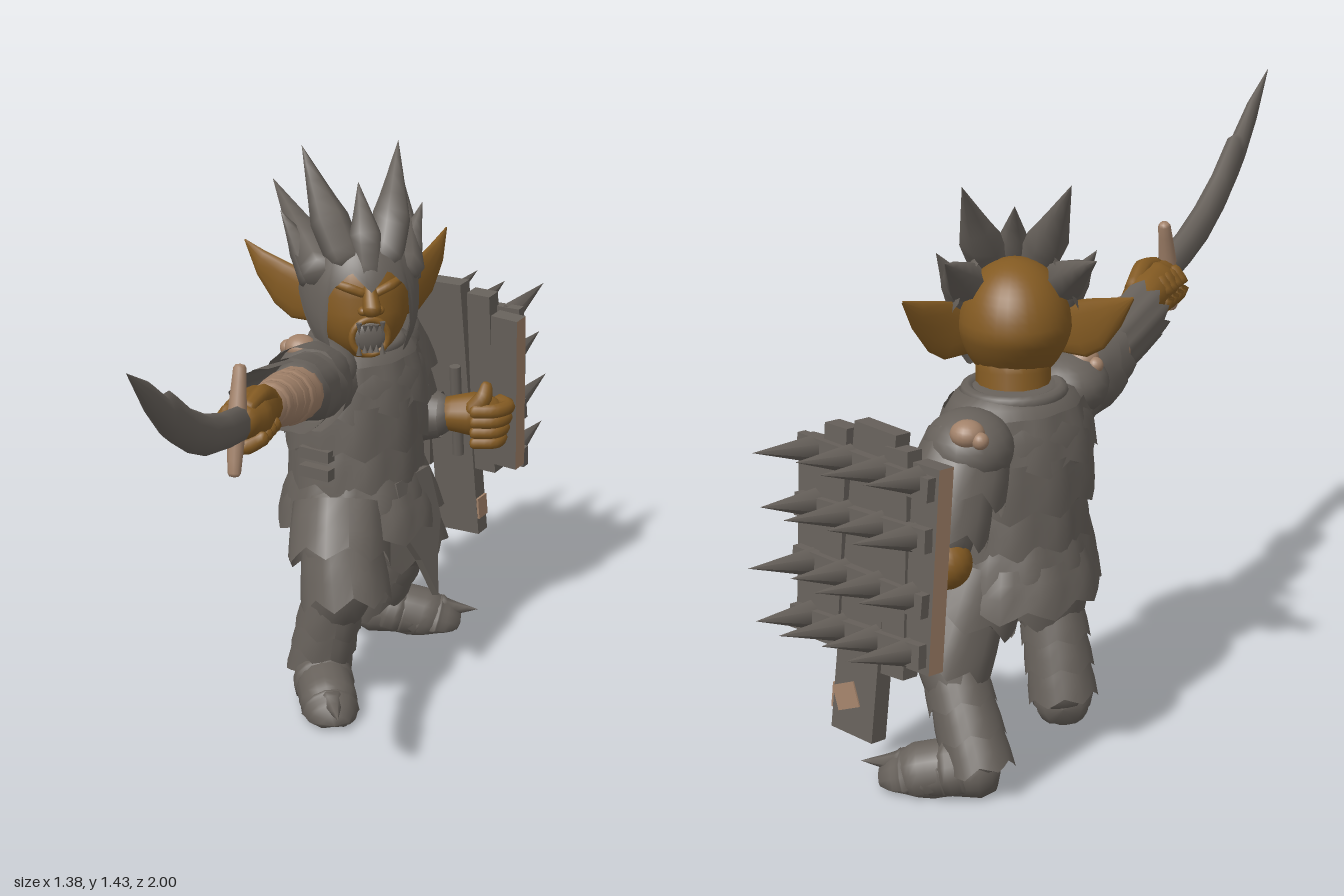
import * as THREE from 'three';

const V = (x, y, z) => new THREE.Vector3(x, y, z);
const material = (name, color, side = THREE.FrontSide) => {
  const m = new THREE.MeshStandardMaterial({ color, side });
  m.name = name;
  return m;
};

// Surface through rings of points; closed rings wrap around
function skin(rings, closed = true) {
  const n = rings[0].length, pos = [], idx = [];
  rings.forEach(r => r.forEach(p => pos.push(p.x, p.y, p.z)));
  for (let i = 0; i < rings.length - 1; i++) for (let k = 0; k < (closed ? n : n - 1); k++) {
    const a = i * n + k, b = i * n + (k + 1) % n;
    idx.push(a, b, a + n, b, b + n, a + n);
  }
  const g = new THREE.BufferGeometry();
  g.setAttribute('position', new THREE.Float32BufferAttribute(pos, 3));
  g.setIndex(idx);
  g.computeVertexNormals();
  return g;
}

// Rounded limb through [x, y, z, radius] points
function limbGeometry(pts, sides = 14, minY = -9) {
  const curve = new THREE.CatmullRomCurve3(pts.map(p => V(p[0], p[1], p[2])));
  const dir = curve.getPoint(1).sub(curve.getPoint(0)).normalize();
  const ref = Math.abs(dir.y) > 0.75 ? V(0, 0, 1) : V(0, 1, 0);
  const last = pts.length - 1, steps = last * 4, rings = [];
  const ring = (t, r, shift) => {
    const tan = curve.getTangent(t), c = curve.getPoint(t).addScaledVector(tan, shift);
    const n = ref.clone().cross(tan).normalize(), b = tan.clone().cross(n);
    rings.push(Array.from({ length: sides }, (_, k) => {
      const a = k / sides * Math.PI * 2;
      const p = c.clone().addScaledVector(n, r * Math.cos(a)).addScaledVector(b, r * Math.sin(a));
      p.y = Math.max(p.y, minY);
      return p;
    }));
  };
  const r0 = pts[0][3], r1 = pts[last][3];
  ring(0, 0, -r0 * 0.6); ring(0, r0 * 0.7, -r0 * 0.45);
  for (let i = 0; i <= steps; i++) {
    const f = i / steps * last, j = Math.min(Math.floor(f), last - 1);
    ring(i / steps, THREE.MathUtils.lerp(pts[j][3], pts[j + 1][3], f - j), 0);
  }
  ring(1, r1 * 0.7, r1 * 0.45); ring(1, 0, r1 * 0.6);
  return skin(rings);
}

// Flared armour sleeve with a ragged lower edge
function raggedGeometry(rTop, rBot, h, teeth, depth, start = 0, length = Math.PI * 2) {
  const g = new THREE.CylinderGeometry(rTop, rBot, h, teeth * 4, 3, true, start, length);
  const p = g.attributes.position, n = teeth * 4 + 1;
  for (let i = 0; i < p.count; i++) {
    const row = Math.floor(i / n), tooth = Math.abs((i % n) % 4 - 2) / 2;
    if (row === 3) p.setY(i, p.getY(i) - depth * (1 - tooth));
    const bulge = 1 + (row === 3 ? 0.03 : 0.05) * (1 - tooth);
    p.setX(i, p.getX(i) * bulge); p.setZ(i, p.getZ(i) * bulge);
  }
  g.computeVertexNormals();
  return g;
}

export function createModel() {
  const steel = material('dark steel', 0x67615b, THREE.DoubleSide);
  const flesh = material('brown skin', 0x835a22);
  const tan = material('tan leather and wood', 0xa2826a);
  const model = new THREE.Group();
  const add = (name, geo, mat, parent = model, x = 0, y = 0, z = 0) => {
    const m = new THREE.Mesh(geo, mat);
    m.name = name; m.position.set(x, y, z); parent.add(m);
    return m;
  };
  const limb = (name, mat, pts, sides, minY) => add(name, limbGeometry(pts, sides, minY), mat);
  const cuff = (name, from, to, r0, r1, teeth = 7, depth = 0.035, start, len) => {
    const a = V(...from), b = V(...to), d = a.clone().sub(b);
    const m = add(name, raggedGeometry(r0, r1, d.length(), teeth, depth, start, len), steel);
    m.position.copy(a).add(b).multiplyScalar(0.5);
    m.quaternion.setFromUnitVectors(V(0, 1, 0), d.normalize());
    return m;
  };
  const ball = (name, mat, x, y, z, sx, sy, sz) =>
    add(name, new THREE.SphereGeometry(1, 20, 14), mat, model, x, y, z).scale.set(sx, sy, sz);

  // Torso, turned toward the shield side
  const torso = new THREE.Group();
  torso.name = 'torso'; torso.position.set(0.08, 0, -0.375); torso.rotation.y = Math.PI / 4;
  model.add(torso);
  const body = [[0, 0.45], [0.14, 0.46], [0.165, 0.55], [0.165, 0.64], [0.185, 0.76], [0.18, 0.85], [0.14, 0.92], [0.09, 0.94], [0, 0.94]];
  add('breastplate', new THREE.LatheGeometry(body.map(p => new THREE.Vector2(...p)), 32), steel, torso).scale.set(1.13, 1, 0.92);
  [[0.9, 0.11, 0.16, 0.195], [0.8, 0.11, 0.185, 0.198], [0.7, 0.11, 0.17, 0.19], [0.61, 0.11, 0.172, 0.212], [0.55, 0.09, 0.19, 0.228]]
    .forEach(([y, h, r0, r1], i) => {
      const m = add('armour band', raggedGeometry(r0, r1, h, 10, 0.03), steel, torso, 0, y - h / 2, 0);
      m.scale.set(1.1, 1, 0.9); m.rotation.y = i * 0.15;
    });
  const collar = add('collar', new THREE.TorusGeometry(0.11, 0.018, 8, 28), steel, torso, 0, 0.925, 0);
  collar.rotation.x = Math.PI / 2;
  const flap = new THREE.Shape([[-0.08, 0], [-0.085, -0.14], [-0.04, -0.22], [0, -0.33], [0.04, -0.22], [0.085, -0.14], [0.08, 0]].map(p => new THREE.Vector2(...p)));
  add('front flap', new THREE.ExtrudeGeometry(flap, { depth: 0.02, bevelEnabled: false }), steel, torso, 0, 0.58, 0.155).rotation.x = -0.25;
  for (const y of [0.63, 0.68]) add('side buckle', new THREE.BoxGeometry(0.03, 0.03, 0.09), steel, torso, -0.215, y, 0.02);

  // Legs
  limb('rightLeg', steel, [[0.03, 0.52, -0.31, 0.12], [0, 0.43, -0.2, 0.11], [0, 0.35, -0.16, 0.092], [-0.03, 0.21, -0.205, 0.068], [-0.045, 0.08, -0.24, 0.07]]);
  limb('leftLeg', steel, [[0.15, 0.52, -0.45, 0.12], [0.2, 0.42, -0.48, 0.105], [0.24, 0.33, -0.505, 0.088], [0.21, 0.2, -0.57, 0.066], [0.17, 0.08, -0.615, 0.064]]);
  cuff('rightThighPlate', [0.01, 0.52, -0.25], [-0.005, 0.41, -0.19], 0.12, 0.13);
  cuff('leftThighPlate', [0.17, 0.52, -0.46], [0.205, 0.41, -0.49], 0.115, 0.128);
  cuff('rightKneePlate', [0, 0.43, -0.19], [0.005, 0.31, -0.155], 0.1, 0.116);
  cuff('leftKneePlate', [0.2, 0.43, -0.48], [0.245, 0.3, -0.515], 0.095, 0.108);
  for (let i = 0; i < 3; i++) {
    cuff('rightGreave', [-0.02 - i * 0.008, 0.3 - i * 0.07, -0.178 - i * 0.022], [-0.03 - i * 0.008, 0.22 - i * 0.07, -0.195 - i * 0.022], 0.072, 0.084, 6, 0.02);
    cuff('leftGreave', [0.235 - i * 0.02, 0.29 - i * 0.07, -0.525 - i * 0.032], [0.215 - i * 0.02, 0.21 - i * 0.07, -0.56 - i * 0.032], 0.07, 0.08, 6, 0.02);
  }
  // Boots with overlapping toe plates
  const boots = { right: [[-0.045, -0.25], [-0.055, -0.015]], left: [[0.165, -0.615], [0.385, -0.56]] };
  for (const [side, [[hx, hz], [tx, tz]]] of Object.entries(boots)) {
    const at = (f, y, r) => [hx + (tx - hx) * f, y, hz + (tz - hz) * f, r];
    limb(side + 'Boot', steel, [at(0, 0.055, 0.066), at(0.35, 0.055, 0.073), at(0.7, 0.035, 0.075), at(0.95, 0.02, 0.05)], 18, 0);
    for (let i = 0; i < 4; i++) limb(side + 'ToePlate', steel, [at(0.2 + i * 0.2, 0.062 - i * 0.014, 0.076), at(0.36 + i * 0.2, 0.052 - i * 0.014, 0.08 - i * 0.007)], 14, 0.012);
    limb(side + 'ToePoint', steel, [at(0.9, 0.06, 0.035), at(1.32, 0.055, 0)], 6);
  }

  // Sword arm
  limb('rightUpperArm', steel, [[-0.02, 0.85, -0.27, 0.1], [-0.09, 0.88, -0.16, 0.086], [-0.14, 0.897, -0.07, 0.072]]);
  limb('rightForearmWrap', tan, [[-0.13, 0.895, -0.08, 0.07], [-0.165, 0.908, -0.02, 0.069], [-0.205, 0.927, 0.06, 0.063], [-0.25, 0.95, 0.15, 0.046]]);
  for (let i = 0; i < 4; i++) limb('wrapBand', tan, [[-0.16 - i * 0.022, 0.906 + i * 0.011, -0.025 + i * 0.042, 0.071 - i * 0.005], [-0.173 - i * 0.022, 0.912 + i * 0.011, i * 0.042, 0.069 - i * 0.005]]);
  ball('rightPauldron', steel, -0.05, 0.895, -0.25, 0.105, 0.08, 0.11);
  cuff('rightShoulderPlate', [-0.05, 0.88, -0.23], [-0.095, 0.885, -0.14], 0.09, 0.108);
  cuff('rightArmPlate', [-0.09, 0.88, -0.15], [-0.138, 0.895, -0.065], 0.086, 0.094, 7, 0.025);
  cuff('rightVambrace', [-0.15, 0.905, -0.05], [-0.245, 0.945, 0.115], 0.08, 0.084, 6, 0.035, -3.7, 3.2);
  limb('rightHand', flesh, [[-0.24, 0.945, 0.13, 0.042], [-0.28, 0.967, 0.2, 0.055], [-0.315, 0.975, 0.28, 0.06], [-0.34, 0.985, 0.33, 0.04]]);
  for (let i = 0; i < 4; i++) {
    const x = -0.282 - i * 0.015, z = 0.225 + i * 0.03;
    limb('rightFinger', flesh, [[x - 0.035, 1.005, z - 0.015, 0.019], [x - 0.055, 0.96, z - 0.02, 0.021], [x - 0.01, 0.915, z, 0.021], [x + 0.04, 0.94, z + 0.018, 0.018]], 8);
  }
  limb('rightThumb', flesh, [[-0.25, 0.99, 0.19, 0.024], [-0.28, 1.022, 0.26, 0.024], [-0.32, 1.015, 0.32, 0.018]], 8);

  // Curved sword: [distance, lower edge, upper edge, half thickness]
  limb('crossguard', tan, [[-0.34, 1.115, 0.325, 0.016], [-0.355, 0.995, 0.36, 0.024], [-0.368, 0.88, 0.392, 0.016]], 10);
  const blade = [[0, 0.945, 1.035, 0.03], [0.12, 0.968, 1.06, 0.033], [0.24, 0.998, 1.1, 0.033], [0.36, 1.05, 1.158, 0.031], [0.47, 1.115, 1.235, 0.028], [0.5, 1.138, 1.232, 0.025], [0.6, 1.225, 1.3, 0.018], [0.725, 1.358, 1.36, 0.001]];
  add('blade', skin(blade.map(([s, lo, hi, t]) => Array.from({ length: 10 }, (_, k) => {
    const a = k / 10 * Math.PI * 2, w = -Math.sin(a) * t;
    return V(-0.35 - s * 0.465 + w * 0.885, (lo + hi) / 2 + Math.cos(a) * (hi - lo) / 2, 0.36 + s * 0.885 + w * 0.465);
  }))), steel);

  // Shield arm
  limb('leftUpperArm', steel, [[0.18, 0.86, -0.53, 0.09], [0.23, 0.75, -0.61, 0.08], [0.26, 0.64, -0.64, 0.068]]);
  ball('leftElbow', flesh, 0.25, 0.61, -0.67, 0.06, 0.062, 0.06);
  limb('leftForearm', steel, [[0.27, 0.61, -0.64, 0.066], [0.36, 0.615, -0.595, 0.058]]);
  cuff('leftForearmPlate', [0.36, 0.615, -0.595], [0.28, 0.61, -0.635], 0.06, 0.08, 6);
  ball('leftPauldron', steel, 0.195, 0.86, -0.59, 0.105, 0.09, 0.115);
  cuff('leftShoulderPlate', [0.19, 0.88, -0.57], [0.225, 0.77, -0.62], 0.095, 0.118);
  cuff('leftArmPlate', [0.22, 0.79, -0.6], [0.25, 0.68, -0.64], 0.085, 0.1);
  for (const [x, y, z] of [[0.2, 0.92, -0.665], [-0.09, 0.955, -0.25]]) {
    ball('shoulderOrnament', tan, x, y, z, 0.04, 0.032, 0.04);
    for (const s of [1, -1]) ball('ornamentKnob', tan, x + s * 0.028, y - 0.008, z + s * 0.028, 0.02, 0.02, 0.02);
  }
  limb('leftHand', flesh, [[0.37, 0.62, -0.59, 0.045], [0.44, 0.62, -0.57, 0.06], [0.5, 0.61, -0.58, 0.048]]);
  for (let i = 0; i < 4; i++) {
    const y = 0.645 - i * 0.03, r = 0.02 - i * 0.001;
    limb('leftFinger', flesh, [[0.43, y, -0.52, r], [0.485, y, -0.51, r], [0.53 - i * 0.006, y, -0.54, r], [0.52, y, -0.59, r]], 8);
  }
  limb('leftThumb', flesh, [[0.43, 0.64, -0.54, 0.027], [0.46, 0.68, -0.53, 0.024], [0.47, 0.71, -0.54, 0.016]], 8);

  // Spiked plank shield, leaning with its foot away from the body
  const shield = new THREE.Group();
  shield.name = 'shield'; shield.position.set(0.42, 0.66, -0.72);
  shield.rotation.set(-0.09, Math.PI * 0.75, 0, 'YXZ');
  model.add(shield);
  [[-0.175, 0.08, 0.45, 0.89], [-0.1, 0.07, 0.42, 0.94], [0, 0.13, 0.22, 0.96], [0.1, 0.07, 0.4, 0.93], [0.175, 0.08, 0.43, 0.91]].forEach(([x, w, lo, hi], i) => {
    const mats = [i === 4 ? tan : steel, i === 0 ? tan : steel, steel, tan, steel, steel];
    add('plank', new THREE.BoxGeometry(w, hi - lo, 0.046), mats, shield, x, (lo + hi) / 2 - 0.66, (i % 2) * 0.008)
      .rotation.z = (1 - i % 3) * 0.04;
  });
  // Bare wood where the long plank is chipped
  add('chippedWood', new THREE.BoxGeometry(0.07, 0.06, 0.008), tan, shield, -0.035, -0.35, 0.023).rotation.z = 0.4;
  add('chippedEdge', new THREE.BoxGeometry(0.008, 0.06, 0.044), tan, shield, -0.079, -0.36, 0).rotation.z = -0.04;
  [0.87, 0.74, 0.6, 0.47].forEach((y, row) => {
    add('crossBatten', new THREE.BoxGeometry(0.41, 0.055, 0.025), steel, shield, 0, y - 0.66, 0.035).rotation.z = (row % 2 - 0.5) * 0.06;
    for (let c = 0; c < 4; c++) {
      const long = (row + c) % 2 ? 0.17 : 0.2;
      const spike = add('shieldSpike', new THREE.ConeGeometry(0.034, long, 6), steel, shield, -0.16 + c * 0.105, y - 0.645, 0.03 + long / 2);
      spike.rotation.x = Math.PI / 2 - 0.12;
    }
  });
  add('shieldGrip', new THREE.CylinderGeometry(0.016, 0.016, 0.26, 8), steel, shield, -0.06, -0.04, -0.08);

  // Head with narrowed, forward jaw
  limb('neck', flesh, [[0.08, 0.88, -0.36, 0.09], [0.08, 1.0, -0.34, 0.088]]);
  const skull = new THREE.SphereGeometry(1, 32, 24), sp = skull.attributes.position;
  for (let i = 0; i < sp.count; i++) {
    const y = sp.getY(i), jaw = Math.max(0, -y);
    sp.setXYZ(i, sp.getX(i) * 0.134 * (1 - jaw * 0.12), y * 0.16, sp.getZ(i) * 0.15 * (1 - jaw * 0.1) + jaw * 0.05);
  }
  skull.computeVertexNormals();
  add('head', skull, flesh, model, 0.075, 1.07, -0.33);
  limb('nose', flesh, [[0.075, 1.12, -0.188, 0.016], [0.075, 1.09, -0.17, 0.022], [0.075, 1.068, -0.156, 0.024]], 10);
  ball('mouth', steel, 0.073, 0.995, -0.18, 0.045, 0.042, 0.018);
  add('lips', new THREE.TorusGeometry(0.046, 0.009, 8, 24), flesh, model, 0.073, 0.995, -0.175);
  for (let i = 0; i < 5; i++) for (const s of [1, -1]) {
    const tooth = add('tooth', new THREE.ConeGeometry(0.008, i % 4 ? 0.02 : 0.032, 6), steel, model, 0.043 + i * 0.015, 0.995 + s * 0.026, -0.163);
    if (s > 0) tooth.rotation.x = Math.PI;
  }
  for (const s of [1, -1]) {
    const X = d => 0.075 + s * d;
    limb('brow', flesh, [[X(0.018), 1.108, -0.184, 0.012], [X(0.055), 1.122, -0.193, 0.013], [X(0.09), 1.13, -0.222, 0.01]], 8);
    ball('nostril', flesh, X(0.02), 1.066, -0.17, 0.014, 0.012, 0.015);
    // Long pointed ear
    const ear = [[0.1, 1.04, -0.31, 0.045], [0.15, 1.062, -0.35, 0.066], [0.19, 1.085, -0.385, 0.058], [0.23, 1.125, -0.43, 0.034], [0.265, 1.175, -0.48, 0.002]];
    const rings = ear.map(([d, y, z, w]) => Array.from({ length: 12 }, (_, k) => {
      const a = s * k / 12 * Math.PI * 2, c = Math.cos(a) * w, t = Math.sin(a) * Math.min(0.016, w);
      return V(X(d + t * 0.7 - c * 0.25), y + c, z + t * 0.7 + c * 0.2);
    }));
    add('ear', skin(rings), flesh);
    // Helmet horns
    const horns = [
      [[0.05, 1.18, -0.24, 0.048], [0.08, 1.27, -0.3, 0.05], [0.125, 1.43, -0.43, 0]],
      [[0.1, 1.14, -0.27, 0.058], [0.125, 1.2, -0.39, 0.046], [0.17, 1.3, -0.6, 0]],
      [[0.115, 1.12, -0.3, 0.045], [0.14, 1.18, -0.35, 0.035], [0.185, 1.27, -0.41, 0]]];
    horns.forEach(h => limb('helmetHorn', steel, h.map(([d, y, z, r]) => [X(d), y, z, r]), 6));
  }
  limb('middleHorn', steel, [[0.075, 1.15, -0.205, 0.035], [0.075, 1.24, -0.24, 0.042], [0.075, 1.355, -0.33, 0]], 6);

  // Open-faced helmet: brow dips at the nose, cheek guards hang at the sides
  const edge = [[0, 0.045], [0.35, 0.095], [0.72, 0.04], [0.88, -0.13], [1.12, -0.13], [1.45, -0.01], [1.7, 0.03], [1.95, 0.07]];
  const low = a => {
    const i = Math.max(1, edge.findIndex(e => a <= e[0] + 1e-6)), [p, q] = [edge[i - 1], edge[i]];
    return THREE.MathUtils.lerp(p[1], q[1], (a - p[0]) / (q[0] - p[0]));
  };
  const shell = Array.from({ length: 49 }, (_, i) => {
    const a = (i / 24 - 1) * 1.95;
    return Array.from({ length: 9 }, (_, j) => {
      const y = THREE.MathUtils.lerp(low(Math.abs(a)), 0.16, j / 8), f = Math.sqrt(1 - (y / 0.2) ** 2);
      return V(0.075 + Math.sin(a) * 0.154 * f, 1.07 + y, -0.33 + Math.cos(a) * 0.174 * f + Math.max(0, -y) * 0.25);
    });
  });
  add('helmet', skin(shell, false), steel);
  return model;
}
